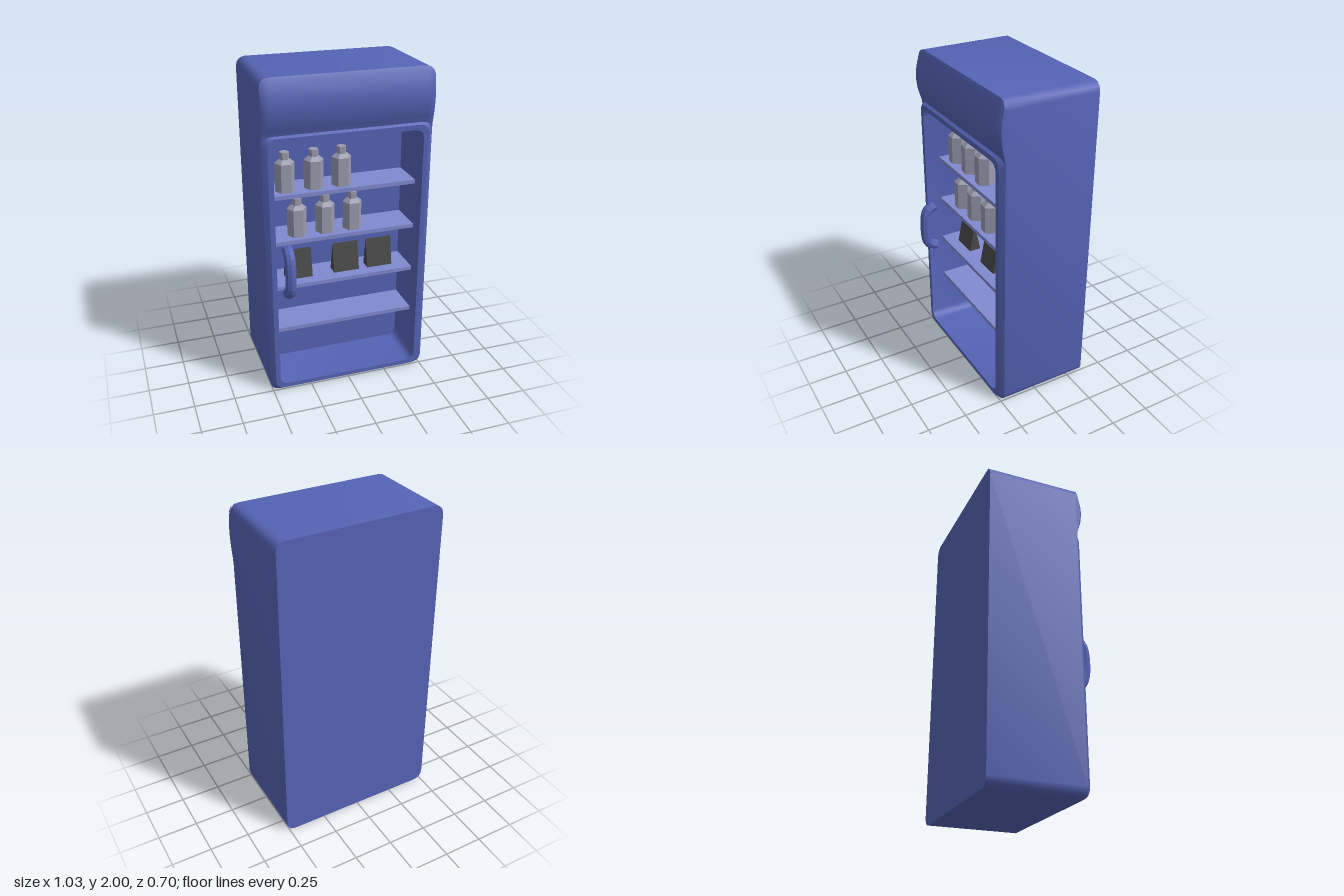
import * as THREE from 'three';
import { toCreasedNormals } from 'three/addons/utils/BufferGeometryUtils.js';

const paint = (color, extra = {}) => new THREE.MeshStandardMaterial({ color, ...extra });

function part(name, geometry, material, x = 0, y = 0, z = 0) {
  const mesh = new THREE.Mesh(geometry, material);
  mesh.name = name;
  mesh.position.set(x, y, z);
  return mesh;
}

// Skins a list of equally long point rows; closed rows wrap round
function skin(rows, closed, crease) {
  const n = rows[0].length, index = [];
  for (let i = 0; i < rows.length - 1; i++) {
    for (let j = 0; j < (closed ? n : n - 1); j++) {
      const k = (j + 1) % n, a = i * n, b = a + n;
      index.push(a + j, a + k, b + k, a + j, b + k, b + j);
    }
  }
  const geometry = new THREE.BufferGeometry();
  geometry.setAttribute('position', new THREE.Float32BufferAttribute(rows.flat(2), 3));
  geometry.setIndex(index);
  return toCreasedNormals(geometry, crease);
}

// Rounded rectangle, counter-clockwise seen from the front
function ring(w, y0, y1, r, z) {
  const points = [];
  const corners = [[w - r, y1 - r], [r - w, y1 - r], [r - w, y0 + r], [w - r, y0 + r]];
  corners.forEach(([cx, cy], c) => {
    for (let i = 0; i <= 3; i++) {
      const a = (c + i / 3) * Math.PI / 2;
      points.push([cx + r * Math.cos(a), cy + r * Math.sin(a), z]);
    }
  });
  return points;
}

// Bulging panel above the door: rows of [height, half width, front z]
function headGeometry() {
  const back = 0.235;
  const profile = [
    [1.635, 0.515, 0.236], [1.67, 0.515, 0.243], [1.71, 0.515, 0.26], [1.755, 0.515, 0.275],
    [1.82, 0.515, 0.285], [1.87, 0.515, 0.281], [1.915, 0.515, 0.27], [1.95, 0.515, 0.257],
    [1.975, 0.508, 0.247], [1.993, 0.49, 0.239], [2, 0.465, 0.235],
  ];
  const rows = profile.map(([y, w, z]) => {
    const side = [[0, 0], [0, 0.55], [0.015, 0.85], [0.045, 1]]
      .map(([inset, f]) => [w - inset, y, back + (z - back) * f]);
    return [...side.map(([x, h, d]) => [-x, h, d]), ...side.reverse()];
  });
  return skin(rows, false, 0.7);
}

export function createModel() {
  const model = new THREE.Group();
  model.name = 'displayFridge';
  const blue = paint(0x5563b5);
  const shelfBlue = paint(0x808ad0);
  const glassGrey = paint(0x9a9ab0, { flatShading: true });
  const darkGrey = paint(0x484848, { flatShading: true });

  // Outer shell with its back
  model.add(part('cabinet', skin([
    ring(0, 1, 1, 0, -0.345),
    ring(0.515, 0, 2, 0.055, -0.345),
    ring(0.515, 0, 2, 0.055, 0.235),
  ], true, 0.6), blue));

  // Door frame running back into the storage space
  model.add(part('doorFrameAndInterior', skin([
    ring(0.515, 0, 1.68, 0.055, 0.235),
    ring(0.484, 0.018, 1.663, 0.05, 0.262),
    ring(0.454, 0.045, 1.632, 0.05, 0.262),
    ring(0.454, 0.045, 1.632, 0.05, -0.065),
    ring(0, 0.84, 0.84, 0, -0.065),
  ], true, 0.6), blue));

  model.add(part('headPanel', headGeometry(), blue));

  // Shelves
  const shelfTops = [1.285, 0.99, 0.69, 0.395];
  const shelf = new THREE.BoxGeometry(0.908, 0.025, 0.23);
  shelfTops.forEach((y) => model.add(part('shelf', shelf, shelfBlue, 0, y - 0.0125, 0.05)));

  // Six-sided bottles on the upper two shelves
  const bottle = new THREE.LatheGeometry(
    [[0, 0], [0.06, 0], [0.06, 0.175], [0.033, 0.197], [0.03, 0.197], [0.03, 0.24], [0, 0.24]]
      .map(([r, y]) => new THREE.Vector2(r, y)), 6);
  bottle.rotateY(Math.PI / 6 - 0.07);
  [[-0.345, -0.168, 0.005], [-0.277, -0.1, 0.075]].forEach((xs, row) =>
    xs.forEach((x) => model.add(part('bottle', bottle, glassGrey, x, shelfTops[row], 0.082))));

  // Wedge-shaped packets on the third shelf
  const wedge = new THREE.Shape([[-0.038, 0], [0.038, 0], [0, 0.187]]
    .map(([x, y]) => new THREE.Vector2(x, y)));
  const packet = new THREE.ExtrudeGeometry(wedge, { depth: 0.166, bevelEnabled: false });
  packet.translate(0, 0, -0.083).rotateY(Math.PI / 2);
  [-0.268, 0.04, 0.263].forEach((x) =>
    model.add(part('packet', packet, darkGrey, x, shelfTops[2], 0.055)));

  // Faceted door handle
  const path = new THREE.CatmullRomCurve3(
    [[0.982, 0.245], [0.965, 0.288], [0.92, 0.311], [0.75, 0.311], [0.706, 0.288], [0.69, 0.245]]
      .map(([y, z]) => new THREE.Vector3(0, y, z)), false, 'centripetal');
  model.add(part('doorHandle', new THREE.TubeGeometry(path, 14, 0.034, 8),
    paint(0x5563b5, { flatShading: true, side: THREE.DoubleSide }), -0.385, 0, 0));

  return model;
}
